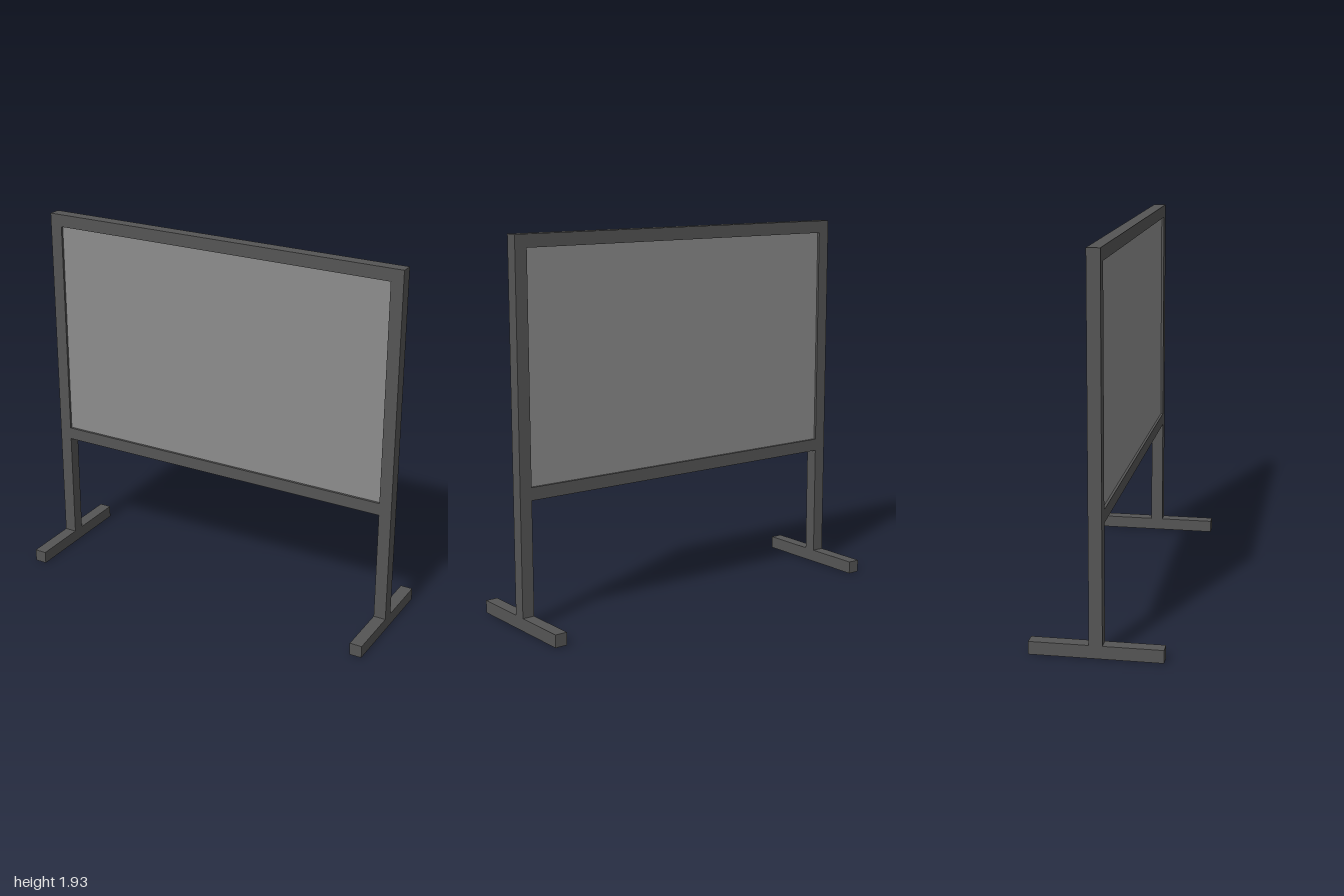
import * as THREE from 'three';

const BAR = 0.065;      // square section of every frame bar
const TOP = 1.935;      // overall height
const RAIL_Y = 0.65;    // underside of the lower rail
const FOOT_LENGTH = 0.65;

export function createModel() {
  const model = new THREE.Group();
  model.name = 'freestandingBoard';
  const frameMaterial = new THREE.MeshStandardMaterial({ color: 0x555555 });
  const panelMaterial = new THREE.MeshStandardMaterial({ color: 0x8c8c8c });

  // Box whose underside sits at the given height
  function addBox(name, size, x, bottom, material = frameMaterial) {
    const mesh = new THREE.Mesh(new THREE.BoxGeometry(...size), material);
    mesh.name = name;
    mesh.position.set(x, bottom + size[1] / 2, 0);
    model.add(mesh);
  }

  // Posts standing on feet that run front to back
  for (const [side, s] of [['left', 1], ['right', -1]]) {
    const x = s * (1 - BAR / 2);
    addBox(side + 'Foot', [BAR, BAR, FOOT_LENGTH], x, 0);
    addBox(side + 'Post', [BAR, TOP - BAR, BAR], x, BAR);
  }

  // Rails between the posts
  const inner = 2 - 2 * BAR;
  addBox('topRail', [inner, BAR, BAR], 0, TOP - BAR);
  addBox('bottomRail', [inner, BAR, BAR], 0, RAIL_Y);

  // Board panel, slightly recessed on both faces
  addBox('panel', [inner, TOP - RAIL_Y - 2 * BAR, 0.04], 0, RAIL_Y + BAR, panelMaterial);

  return model;
}
